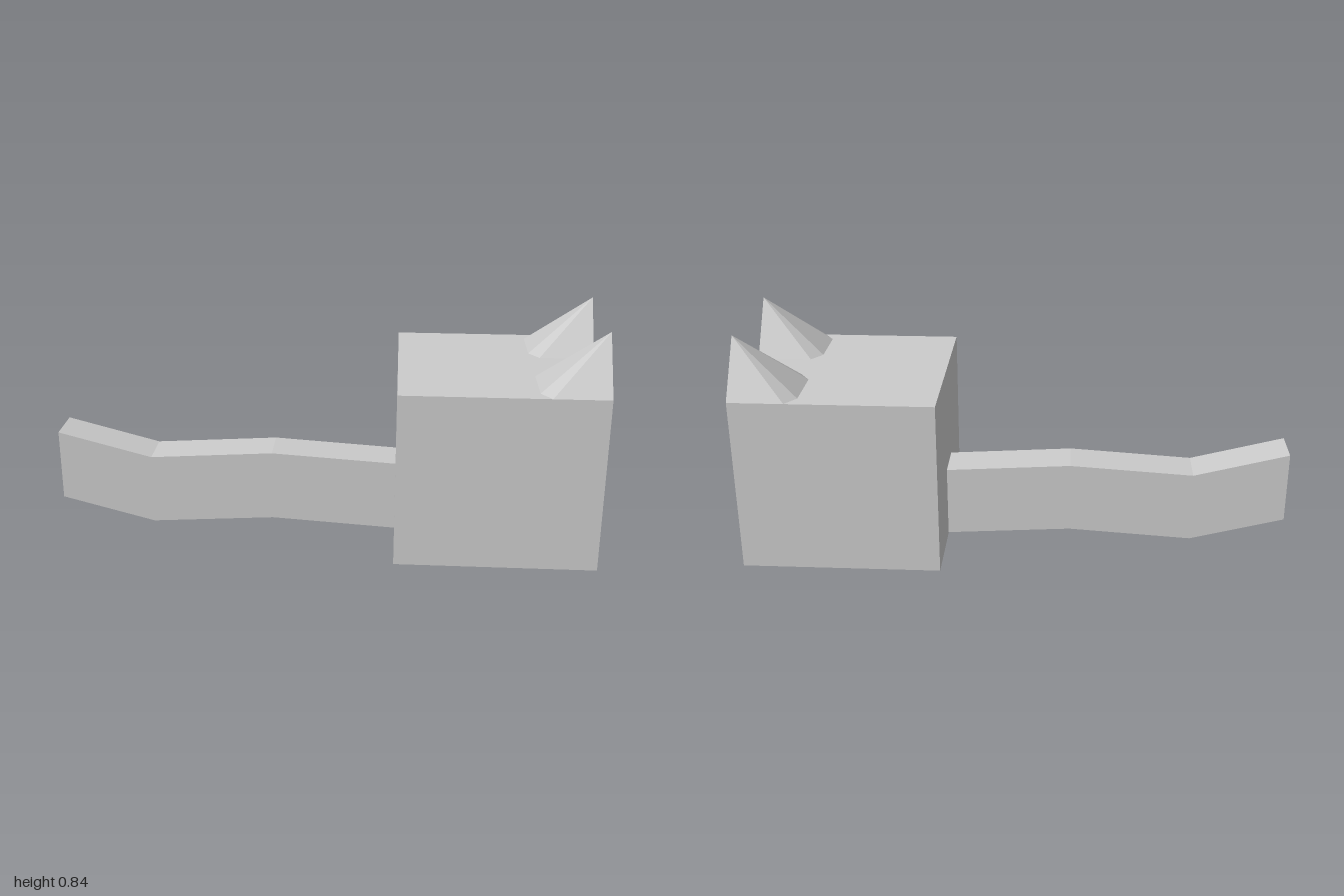
import * as THREE from 'three';

const material = (color) => new THREE.MeshStandardMaterial({ color, flatShading: true });

// Fan of flat triangles from a base ring up to an apex
function pyramidGeometry(ring, apex) {
  const positions = [];
  ring.forEach((point, i) => {
    positions.push(...point, ...ring[(i + 1) % ring.length], ...apex);
  });
  const geometry = new THREE.BufferGeometry();
  geometry.setAttribute('position', new THREE.Float32BufferAttribute(positions, 3));
  geometry.computeVertexNormals();
  return geometry;
}

export function createModel() {
  const group = new THREE.Group();
  const grey = material(0xcccccc);
  const pink = material(0xe04de8);
  const navy = material(0x171147);

  const add = (name, geometry, mat, x = 0, y = 0, z = 0) => {
    const mesh = new THREE.Mesh(geometry, mat);
    mesh.name = name;
    mesh.position.set(x, y, z);
    group.add(mesh);
    return mesh;
  };

  const faceX = 1, backX = 0.275, headTop = 0.647, headDepth = 0.722;

  // Boxy head, its face towards +x
  add('head', new THREE.BoxGeometry(faceX - backX, headTop, headDepth), grey,
    (faceX + backX) / 2, headTop / 2, 0);

  // Bent tail: a wavy strip of constant height
  const bends = [[-1, 0.095], [-0.65, 0.003], [-0.19, 0.032], [backX, 0.003]];
  const tailHeight = 0.267, tailWidth = 0.156;
  const outline = [
    ...bends,
    ...[...bends].reverse().map(([x, y]) => [x, y + tailHeight]),
  ].map(([x, y]) => new THREE.Vector2(x, y));
  add('tail', new THREE.ExtrudeGeometry(new THREE.Shape(outline), {
    depth: tailWidth, bevelEnabled: false,
  }), grey, 0, 0, -tailWidth / 2);

  // Ear: flat front, chamfered back, apex above the face
  const earRing = [[-0.2, 0.142], [0, 0.142], [0, -0.142], [-0.2, -0.142], [-0.237, -0.09], [-0.237, 0.09]]
    .map(([x, z]) => [x, 0, z]);
  const earGeometry = pyramidGeometry(earRing, [0, 0.197, 0]);

  // Inner ear and eye panels, drawn in the xy plane and turned to the face
  const innerEarGeometry = new THREE.ShapeGeometry(new THREE.Shape([
    new THREE.Vector2(-0.09, 0), new THREE.Vector2(0.09, 0), new THREE.Vector2(0, 0.143),
  ])).rotateY(Math.PI / 2);
  const eyeGeometry = new THREE.PlaneGeometry(0.18, 0.19).rotateY(Math.PI / 2);

  for (const side of [1, -1]) {
    const label = side > 0 ? 'Front' : 'Back';
    const z = side * 0.219;
    add('ear' + label, earGeometry, grey, faceX, headTop, z);
    add('innerEar' + label, innerEarGeometry, pink, faceX + 0.001, headTop, z);
    add('eye' + label, eyeGeometry, navy, faceX + 0.001, 0.365, z);
  }

  return group;
}
